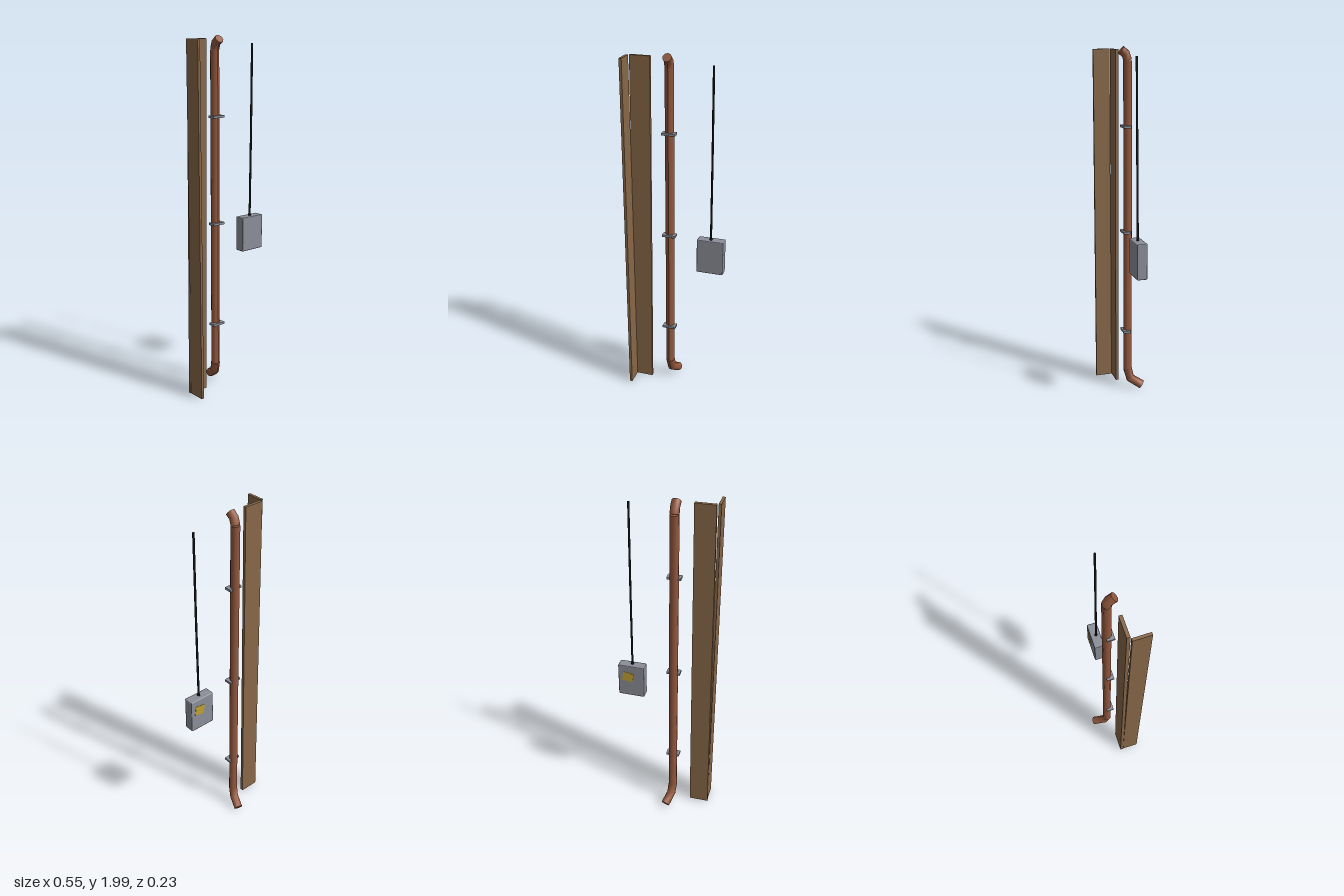
import * as THREE from 'three';
import { RoundedBoxGeometry } from 'three/addons/geometries/RoundedBoxGeometry.js';

const flat = (name, color) => {
  const m = new THREE.MeshStandardMaterial({ color });
  m.name = name;
  return m;
};

// Capped pipe whose rings follow a path listed from bottom to top
function pipeGeometry(path, radius, sides) {
  const pts = path.map((p) => new THREE.Vector3(...p));
  const last = pts.length - 1;
  const up = new THREE.Vector3(0, 1, 0);
  const turns = pts.map((p, i) => {
    const dir = new THREE.Vector3();
    if (i > 0) dir.add(p.clone().sub(pts[i - 1]).normalize());
    if (i < last) dir.add(pts[i + 1].clone().sub(p).normalize());
    return new THREE.Quaternion().setFromUnitVectors(up, dir.normalize());
  });
  const geo = new THREE.CylinderGeometry(radius, radius, last, sides, last);
  const pos = geo.attributes.position;
  const v = new THREE.Vector3();
  for (let i = 0; i < pos.count; i++) {
    v.fromBufferAttribute(pos, i);
    const ring = Math.round(v.y + last / 2);
    v.setY(0).applyQuaternion(turns[ring]).add(pts[ring]);
    pos.setXYZ(i, v.x, v.y, v.z);
  }
  geo.computeVertexNormals();
  return geo;
}

export function createModel() {
  const model = new THREE.Group();
  model.name = 'wallFittings';
  const wood = flat('wood', 0x886849);
  const copper = flat('copper', 0x93583e);
  const grey = flat('greyMetal', 0x8b8e98);
  const black = flat('blackRubber', 0x14171a);
  const yellow = flat('yellowLabel', 0xc0a030);

  const add = (name, geo, mat, x = 0, y = 0, z = 0, rz = 0) => {
    const mesh = new THREE.Mesh(geo, mat);
    mesh.name = name;
    mesh.position.set(x, y, z);
    mesh.rotation.z = rz;
    model.add(mesh);
    return mesh;
  };

  // Two slightly crooked corner boards
  add('backBoard', new THREE.BoxGeometry(0.113, 1.97, 0.018), wood, -0.205, 0.995, 0.01, -0.0066);
  add('sideBoard', new THREE.BoxGeometry(0.015, 1.97, 0.095), wood, -0.263, 0.995, 0.0675, 0.0046);

  // Downpipe with an elbow at each end
  const px = -0.05, pz = -0.024;
  add('downpipe', pipeGeometry([[px, 0.125, pz], [px, 1.92, pz]], 0.025, 10), copper);
  add('topElbow', pipeGeometry(
    [[px, 1.922, pz], [px, 1.956, -0.013], [px, 1.977, 0.014]], 0.025, 10), copper);
  add('bottomElbow', pipeGeometry(
    [[-0.024, 0.024, -0.104], [-0.045, 0.065, -0.04], [px, 0.127, pz]], 0.026, 10), copper);

  // Pipe brackets
  for (const y of [0.37, 0.967, 1.565]) {
    add('pipeBracket', new THREE.BoxGeometry(0.077, 0.013, 0.042), grey, -0.049, y, -0.012);
  }

  // Junction box with a crooked label on its back
  add('junctionBox', new RoundedBoxGeometry(0.153, 0.2, 0.058, 1, 0.005), grey, 0.1965, 0.875, -0.011);
  add('boxLabel', new THREE.BoxGeometry(0.062, 0.058, 0.003), yellow, 0.216, 0.902, -0.04, 0.14);

  // Cable and its gland
  add('cable', pipeGeometry(
    [[0.196, 0.97, -0.008], [0.197, 1.45, -0.003], [0.196, 1.95, 0.001]], 0.006, 8), black);
  add('cableGland', new THREE.CylinderGeometry(0.008, 0.008, 0.012, 8), black, 0.196, 0.979, -0.008);

  return model;
}
